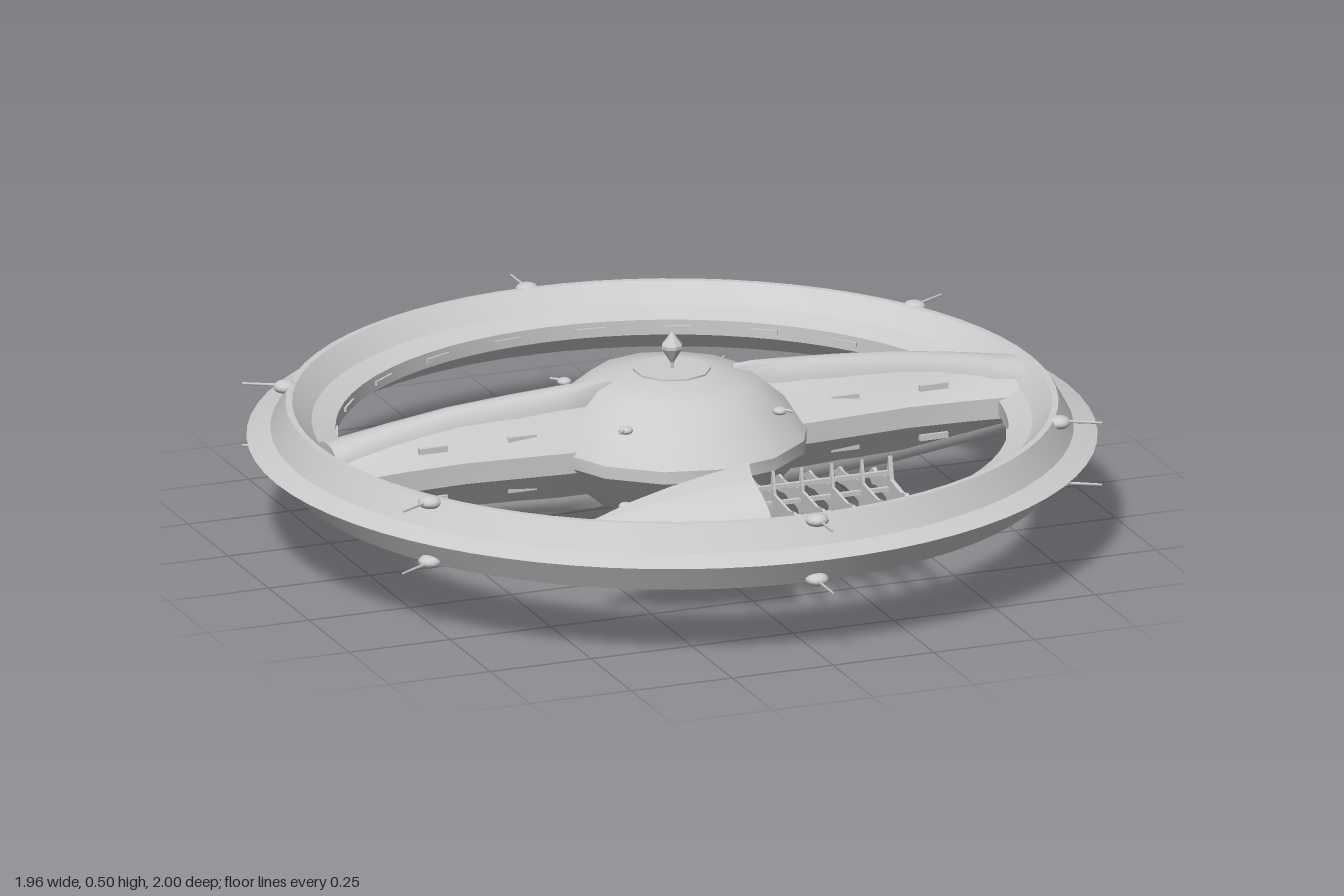
import * as THREE from 'three';
import { toCreasedNormals } from 'three/addons/utils/BufferGeometryUtils.js';

const MID = 0.25; // height of the symmetry plane
const material = new THREE.MeshStandardMaterial({ color: 0xcccccc });

function add(parent, name, geometry, x = 0, y = 0, z = 0) {
  const mesh = new THREE.Mesh(geometry, material);
  mesh.name = name;
  mesh.position.set(x, y, z);
  parent.add(mesh);
  return mesh;
}

function lathe(points, segments, crease) {
  const g = new THREE.LatheGeometry(points.map(([r, y]) => new THREE.Vector2(r, y)), segments);
  return toCreasedNormals(g, crease);
}

// Skin through closed cross-sections [{ x, pts: [[y, z], ...] }] along +x, with end caps
function loft(sections, crease) {
  const n = sections[0].pts.length, pos = [], idx = [];
  for (const s of sections) for (const [y, z] of s.pts) pos.push(s.x, y, z);
  for (let i = 0; i < sections.length - 1; i++) {
    for (let j = 0; j < n; j++) {
      const k = (j + 1) % n, a = i * n + j, b = i * n + k;
      idx.push(a, b, a + n, b, b + n, a + n);
    }
  }
  const last = (sections.length - 1) * n, c = pos.length / 3;
  pos.push(sections[0].x, 0, 0, sections.at(-1).x, 0, 0);
  for (let j = 0; j < n; j++) {
    const k = (j + 1) % n;
    idx.push(c, k, j, c + 1, last + j, last + k);
  }
  const g = new THREE.BufferGeometry();
  g.setAttribute('position', new THREE.Float32BufferAttribute(pos, 3));
  g.setIndex(idx);
  return toCreasedNormals(g, crease);
}

// Four-way mirrored outline from one quadrant running from the top to the side
function mirrorQuadrant(q) {
  const half = [...q, ...q.slice().reverse().map(([y, z]) => [-y, z])];
  const all = [...half, ...half.slice().reverse().map(([y, z]) => [y, -z])];
  return all.filter((p, i) => {
    const o = all[(i + 1) % all.length];
    return Math.hypot(p[0] - o[0], p[1] - o[1]) > 1e-6;
  });
}

function diamond(r, up, down) {
  return lathe([[0, -down], [r, -0.004], [r, 0.004], [0, up]], 8, 0.5);
}

// Dome with a barrel pointing along +z
function turret(r, barrel) {
  const g = new THREE.Group();
  g.name = 'turret';
  const dome = add(g, 'turretDome', new THREE.SphereGeometry(r, 12, 8));
  dome.scale.y = 0.55;
  const gun = add(g, 'turretBarrel', new THREE.CylinderGeometry(0.003, 0.004, barrel, 6), 0, 0.003, barrel / 2);
  gun.rotation.x = Math.PI / 2;
  return g;
}

function buildArm() {
  const arm = new THREE.Group();
  arm.name = 'arm';
  // Wide lower body of the spoke: [x, half width, half height]
  const body = [[0.15, 0.11, 0.105], [0.3, 0.112, 0.105], [0.55, 0.092, 0.095], [0.7, 0.1, 0.075], [0.83, 0.115, 0.06]];
  add(arm, 'armBody', loft(body.map(([x, w, h]) => ({
    x, pts: mirrorQuadrant([[h, 0.04], [h * 0.55, w * 0.75], [0.025, w]]),
  })), 0.45));
  // Rounded ridge that runs over and under the spoke
  const ridge = [[0.15, 0.01, 0.152], [0.2, 0.032, 0.155], [0.28, 0.048, 0.15], [0.4, 0.05, 0.143],
    [0.55, 0.046, 0.132], [0.7, 0.05, 0.11], [0.8, 0.06, 0.092], [0.855, 0.07, 0.082]];
  add(arm, 'armRidge', loft(ridge.map(([x, w, h]) => {
    const q = [];
    for (let i = 0; i <= 6; i++) {
      const t = (i / 6) * Math.PI / 2;
      q.push([h * Math.cos(t) ** 0.8, i === 0 ? 0 : w * Math.sin(t) ** 0.7]);
    }
    return { x, pts: mirrorQuadrant(q) };
  }), 0.7));
  // Slots along the flanks
  for (const sy of [1, -1]) for (const sz of [1, -1]) for (const x of [0.4, 0.62]) {
    add(arm, 'armWindow', new THREE.BoxGeometry(0.07, 0.014, 0.01), x, sy * 0.06, sz * 0.07);
  }
  return arm;
}

function buildSmallShip() {
  const ship = new THREE.Group();
  ship.name = 'dockedShip';
  // Pointed bow with a sharp keel above and below: [x, scale]
  const bow = [[-0.465, 0.01], [-0.4, 0.2], [-0.32, 0.46], [-0.22, 0.7], [-0.12, 0.88], [-0.03, 1]];
  add(ship, 'shipBow', loft(bow.map(([x, s]) => ({
    x, pts: mirrorQuadrant([[0.105, 0], [0.072, 0.025], [0.055, 0.08], [0.03, 0.125], [0, 0.153]].map(([y, z]) => [y * s, z * s])),
  })), 0.5));
  // Open frame: stacked spines and spiked ribs
  for (const y of [-0.04, 0, 0.04]) {
    add(ship, 'shipSpine', new THREE.BoxGeometry(0.35, 0.01, 0.01), 0.145, y, 0);
  }
  [0.03, 0.1, 0.175, 0.25, 0.32].forEach((x, i) => {
    const w = i === 4 ? 0.127 : 0.17, h = 0.08;
    const star = [[h, 0], [0.025, 0.012], [0.012, w * 0.7], [0.02, w * 0.8], [0, w]];
    const t = i === 4 ? 0.005 : 0.0035;
    add(ship, 'shipRib', loft([-t, t].map((dx) => ({ x: dx, pts: mirrorQuadrant(star) })), 0.3), x, 0, 0);
  });
  ship.position.set(0, 0, 0.553);
  return ship;
}

export function createModel() {
  const model = new THREE.Group();
  model.name = 'ringStation';
  const core = new THREE.Group();
  core.name = 'core';
  core.position.y = MID;
  model.add(core);

  // Outer ring with a thin rim and an inner shelf
  add(core, 'ring', lathe([[0.775, -0.018], [0.83, -0.035], [0.875, -0.08], [0.89, -0.08], [0.925, -0.018], [0.98, 0],
    [0.925, 0.018], [0.89, 0.08], [0.875, 0.08], [0.83, 0.035], [0.775, 0.018], [0.775, -0.018]], 72, 0.3));

  // Faceted central hub
  const hub = add(core, 'hub', lathe([[0, -0.157], [0.1, -0.157], [0.2, -0.135], [0.27, -0.08], [0.325, -0.015],
    [0.325, 0.015], [0.27, 0.08], [0.2, 0.135], [0.1, 0.157], [0, 0.157]], 14, 0.55));
  hub.scale.x = 0.97;
  add(core, 'hubPlate', new THREE.CylinderGeometry(0.09, 0.1, 0.322, 10));

  // Spokes
  const arm = buildArm();
  const otherArm = arm.clone();
  otherArm.rotation.y = Math.PI;
  core.add(arm, otherArm);

  core.add(buildSmallShip());

  // Beacons, turrets and hub guns, mirrored above and below
  for (const side of [1, -1]) {
    const face = new THREE.Group();
    face.name = side > 0 ? 'upperFittings' : 'lowerFittings';
    face.rotation.z = side > 0 ? 0 : Math.PI;
    add(face, 'beacon', diamond(0.025, 0.037, 0.045), 0, 0.213, 0);
    add(face, 'beaconMast', new THREE.CylinderGeometry(0.004, 0.004, 0.06, 6), 0, 0.175, 0);
    for (let i = 0; i < 6; i++) {
      const a = (i * Math.PI) / 3;
      const t = turret(0.028, 0.1);
      t.position.set(0.9 * Math.sin(a), 0.072, 0.9 * Math.cos(a));
      t.rotation.y = a;
      face.add(t);
    }
    for (let i = 0; i < 4; i++) {
      const a = Math.PI / 4 + (i * Math.PI) / 2;
      const t = turret(0.017, 0.035);
      t.position.set(0.27 * Math.sin(a), 0.092, 0.27 * Math.cos(a));
      t.rotation.y = a;
      face.add(t);
    }
    core.add(face);
  }

  // Docking spikes and slots on the inner wall of the ring
  for (let i = -2; i <= 2; i++) {
    const a = i * 0.215;
    add(core, 'dockingSpike', diamond(0.008, 0.032, 0.032), 0.765 * Math.sin(a), 0, 0.765 * Math.cos(a));
  }
  for (let i = 0; i < 24; i++) {
    const a = ((i + 0.5) * Math.PI) / 12;
    if (Math.abs(Math.sin(a)) > 0.95) continue;
    const slot = add(core, 'ringWindow', new THREE.BoxGeometry(0.07, 0.01, 0.008), 0.773 * Math.sin(a), 0, 0.773 * Math.cos(a));
    slot.rotation.y = a;
  }
  return model;
}
